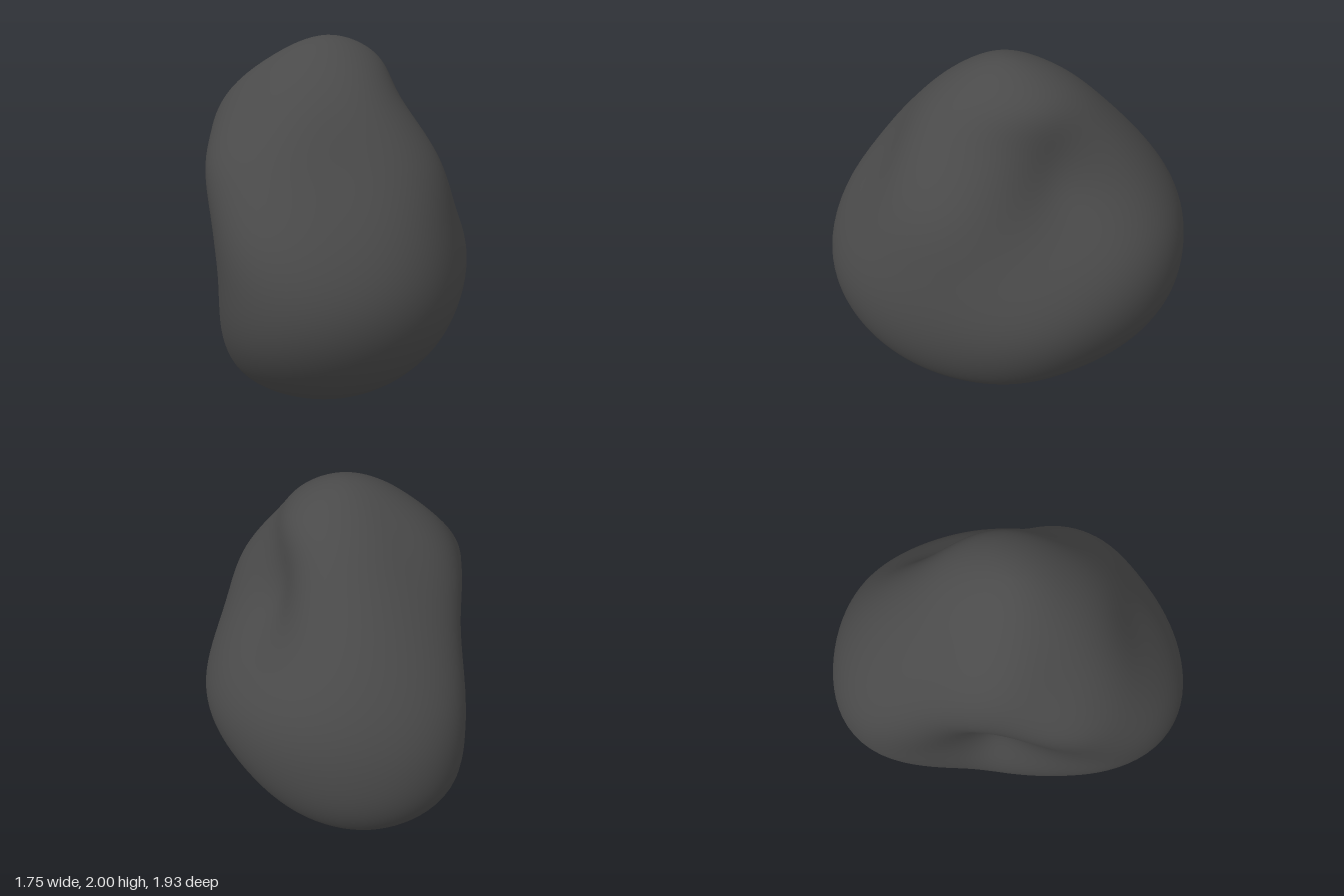
import * as THREE from 'three';

// Horizontal sections: height, then radius every 30 degrees from +x towards +z
const SECTIONS = [
  [0.06, .33, .33, .35, .40, .42, .37, .32, .30, .30, .37, .43, .37],
  [0.22, .62, .62, .64, .69, .73, .68, .56, .49, .51, .66, .75, .70],
  [0.50, .82, .82, .82, .90, .95, .92, .66, .51, .53, .87, .97, .91],
  [0.80, .90, .88, .86, .95, 1.01, .98, .65, .43, .46, .93, 1.01, .97],
  [1.10, .80, .75, .80, .88, .88, .94, .70, .48, .53, .88, .95, .93],
  [1.40, .49, .55, .71, .75, .66, .73, .72, .58, .60, .69, .77, .74],
  [1.68, .44, .43, .48, .54, .51, .50, .46, .48, .48, .46, .52, .54],
  [1.88, .37, .36, .35, .33, .30, .27, .25, .24, .23, .24, .29, .35],
];
const BOTTOM = [-0.02, 0, 0.04];
const TOP = [0.05, 2.01, 0.05];
const LAST = SECTIONS.length + 1;

// Smooth cubic spline that passes (very nearly) through get(0), get(1), ...
function spline(get, t) {
  const i = Math.floor(t), f = t - i, g = 1 - f;
  const w = [g * g * g, 3 * f * f * f - 6 * f * f + 4, 3 * g * g * g - 6 * g * g + 4, f * f * f];
  let sum = 0;
  for (let k = 0; k < 4; k++) {
    const j = i + k - 1;
    sum += (w[k] / 6) * (8 * get(j) - get(j - 1) - get(j + 1)) / 6;
  }
  return sum;
}

// Point on a section; rows beyond a pole continue down the opposite side
function sectionPoint(row, turn) {
  if (row < 0) return sectionPoint(-row, turn + 6);
  if (row > LAST) return sectionPoint(2 * LAST - row, turn + 6);
  if (row === 0) return BOTTOM;
  if (row === LAST) return TOP;
  const s = SECTIONS[row - 1];
  const r = spline((j) => s[1 + (((j % 12) + 12) % 12)], turn);
  const a = (turn * Math.PI) / 6;
  return [r * Math.cos(a), s[0], r * Math.sin(a)];
}

function stoneGeometry(around = 120, up = 90) {
  const index = [];
  const rings = Array.from({ length: up + 1 }, () => []);
  for (let j = 0; j < around; j++) {
    const turn = (j / around) * 12;
    const column = new Map();
    for (let row = -3; row <= LAST + 3; row++) column.set(row, sectionPoint(row, turn));
    for (let i = 0; i <= up; i++) {
      const t = (i / up) * LAST;
      rings[i].push([0, 1, 2].map((axis) => spline((row) => column.get(row)[axis], t)));
    }
  }
  // The first and last ring each merge into one pole
  for (const i of [0, up]) {
    rings[i] = [[0, 1, 2].map((axis) => rings[i].reduce((sum, p) => sum + p[axis], 0) / around)];
  }

  // Skin between rings, closed by a fan at each pole
  const id = (i, j) => 1 + (i - 1) * around + (j % around);
  const topId = 1 + (up - 1) * around;
  for (let j = 0; j < around; j++) {
    index.push(0, id(1, j), id(1, j + 1));
    for (let i = 1; i < up - 1; i++) {
      index.push(id(i, j), id(i + 1, j), id(i, j + 1));
      index.push(id(i, j + 1), id(i + 1, j), id(i + 1, j + 1));
    }
    index.push(id(up - 1, j), topId, id(up - 1, j + 1));
  }

  const geometry = new THREE.BufferGeometry();
  geometry.setAttribute('position', new THREE.Float32BufferAttribute(rings.flat(2), 3));
  geometry.setIndex(index);

  // Centre it and stand it on the ground
  geometry.computeBoundingBox();
  const { min, max } = geometry.boundingBox;
  geometry.translate(-(min.x + max.x) / 2, -min.y, -(min.z + max.z) / 2);
  geometry.computeVertexNormals();
  return geometry;
}

export function createModel() {
  const model = new THREE.Group();
  model.name = 'boulder';
  const darkStone = new THREE.MeshStandardMaterial({ color: 0x4a4a4a });
  darkStone.name = 'dark stone';
  const stone = new THREE.Mesh(stoneGeometry(), darkStone);
  stone.name = 'stone';
  model.add(stone);
  return model;
}
